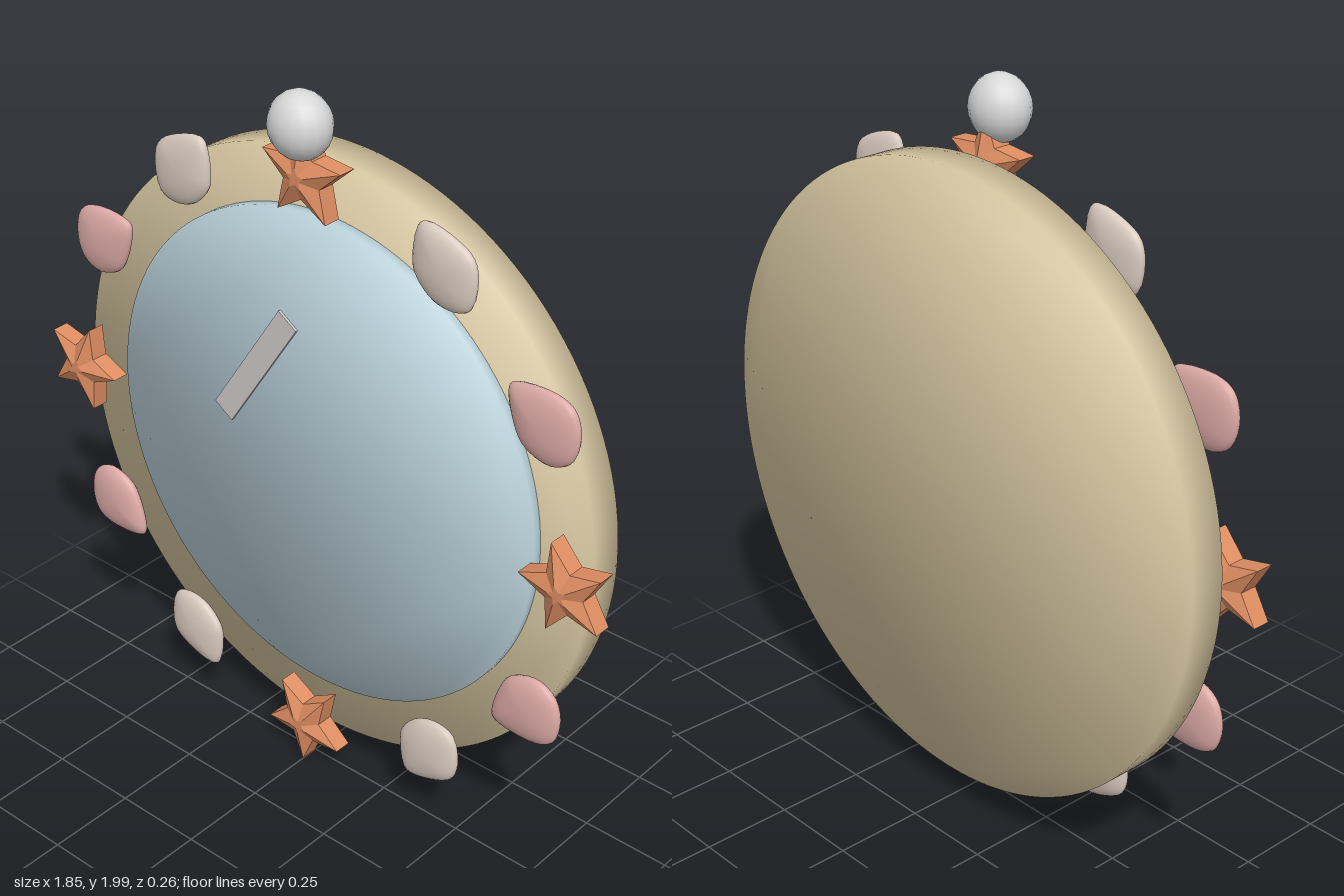
import * as THREE from 'three';
import { ParametricGeometry } from 'three/addons/geometries/ParametricGeometry.js';

const mat = (name, color) => {
  const m = new THREE.MeshStandardMaterial({ color });
  m.name = name;
  return m;
};

const CENTER_Y = 0.96;

// Round plate with normals blended softly across the rim
function discGeometry(radius, depth) {
  const shape = new THREE.Shape().absarc(0, 0, radius, 0, Math.PI * 2);
  const geo = new THREE.ExtrudeGeometry(shape, { depth, bevelEnabled: false, curveSegments: 64 });
  geo.translate(0, 0, -depth / 2);
  const p = geo.attributes.position, n = new THREE.Vector3();
  for (let i = 0; i < p.count; i++) {
    n.set(p.getX(i) / radius, p.getY(i) / radius, Math.sign(p.getZ(i))).normalize();
    geo.attributes.normal.setXYZ(i, n.x, n.y, n.z);
  }
  return geo;
}

// Five-pointed star, lofted from a small raised core out to the edge
function starGeometry(outer, inner) {
  const rings = [[0, -0.048], [0.22, -0.048], [1, -0.025], [1, 0.025], [0.22, 0.048], [0, 0.048]];
  const pos = [], index = [];
  for (const [scale, z] of rings) {
    for (let i = 0; i < 10; i++) {
      const a = i * Math.PI / 5, r = scale * (i % 2 ? inner : outer);
      pos.push(r * Math.cos(a), r * Math.sin(a), z);
    }
  }
  for (let k = 0; k < rings.length - 1; k++) {
    for (let i = 0; i < 10; i++) {
      const a = k * 10 + i, b = k * 10 + (i + 1) % 10;
      if (k > 0) index.push(a, b, b + 10);
      if (k < rings.length - 2) index.push(a, b + 10, a + 10);
      if (k === 0) index.push(a, b + 10, a + 10);
    }
  }
  const geo = new THREE.BufferGeometry();
  geo.setAttribute('position', new THREE.Float32BufferAttribute(pos, 3));
  geo.setIndex(index);
  const flat = geo.toNonIndexed();
  flat.computeVertexNormals();
  return flat;
}

// Flattened shell: a lens swept from a rounded outline with one corner
function shellGeometry(outline, sx, sy) {
  const pts = outline.map(([x, y]) => new THREE.Vector3(x * sx, y * sy, 0));
  if (sx * sy < 0) pts.reverse();
  const curve = new THREE.CatmullRomCurve3(pts, true, 'centripetal');
  return new ParametricGeometry((u, v, target) => {
    const p = curve.getPoint(u % 1), s = Math.sin(v * Math.PI);
    target.set(p.x * s, p.y * s, -0.03 * Math.cos(v * Math.PI));
  }, 32, 14);
}

export function createModel() {
  const group = new THREE.Group();
  const sand = mat('sand', 0xd8c8a2);
  const glass = mat('paleBlue', 0xbcd3dc);
  const coral = mat('coral', 0xdf8e62);
  const pink = mat('pink', 0xdcaaa6);
  const cream = mat('cream', 0xd9cbbf);
  const pearlGrey = mat('pearl', 0xd8d8d8);
  const shine = mat('shine', 0xcfcaca);

  const add = (name, geo, material, x, y, z) => {
    const mesh = new THREE.Mesh(geo, material);
    mesh.name = name;
    mesh.position.set(x, y, z);
    group.add(mesh);
    return mesh;
  };

  // Backing frame and mirror glass
  add('frame', discGeometry(0.85, 0.1), sand, 0, CENTER_Y, -0.08);
  add('mirrorGlass', discGeometry(0.695, 0.05), glass, 0, CENTER_Y, -0.029);

  // Slanted glint on the glass
  const glint = add('glint', new THREE.BoxGeometry(0.418, 0.07, 0.009), shine, -0.208, 1.164, -0.001);
  glint.rotation.z = 0.988;

  // Four stars on the axes
  const star = starGeometry(0.13, 0.06);
  for (let i = 0; i < 4; i++) {
    const a = i * Math.PI / 2;
    const mesh = add('star', star, coral, 0.82 * Math.cos(a), CENTER_Y + 0.82 * Math.sin(a), 0.028);
    mesh.rotation.z = Math.PI - a;
  }

  // Eight shells, mirrored into each quadrant
  const creamOutline = [[0.096, 0], [0.08, 0.05], [0.025, 0.083], [-0.055, 0.102], [-0.078, 0.09],
    [-0.094, 0], [-0.085, -0.04], [-0.035, -0.09], [0.03, -0.104], [0.078, -0.085]];
  const pinkOutline = [[0.105, 0.005], [0.085, 0.072], [0.03, 0.097], [-0.08, 0.09], [-0.1, 0.075],
    [-0.085, -0.01], [-0.05, -0.07], [0.03, -0.095], [0.085, -0.065]];
  for (const sx of [1, -1]) {
    for (const sy of [1, -1]) {
      add('creamShell', shellGeometry(creamOutline, sx, sy), cream, 0.42 * sx, CENTER_Y + 0.71 * sy, 0.027);
      add('pinkShell', shellGeometry(pinkOutline, sx, sy), pink, 0.72 * sx, CENTER_Y + 0.405 * sy, 0.027);
    }
  }

  // Pearl at the top
  const pearl = add('pearl', new THREE.SphereGeometry(1, 16, 12), pearlGrey, 0, 1.913, 0.054);
  pearl.scale.set(0.085, 0.087, 0.075);

  return group;
}
